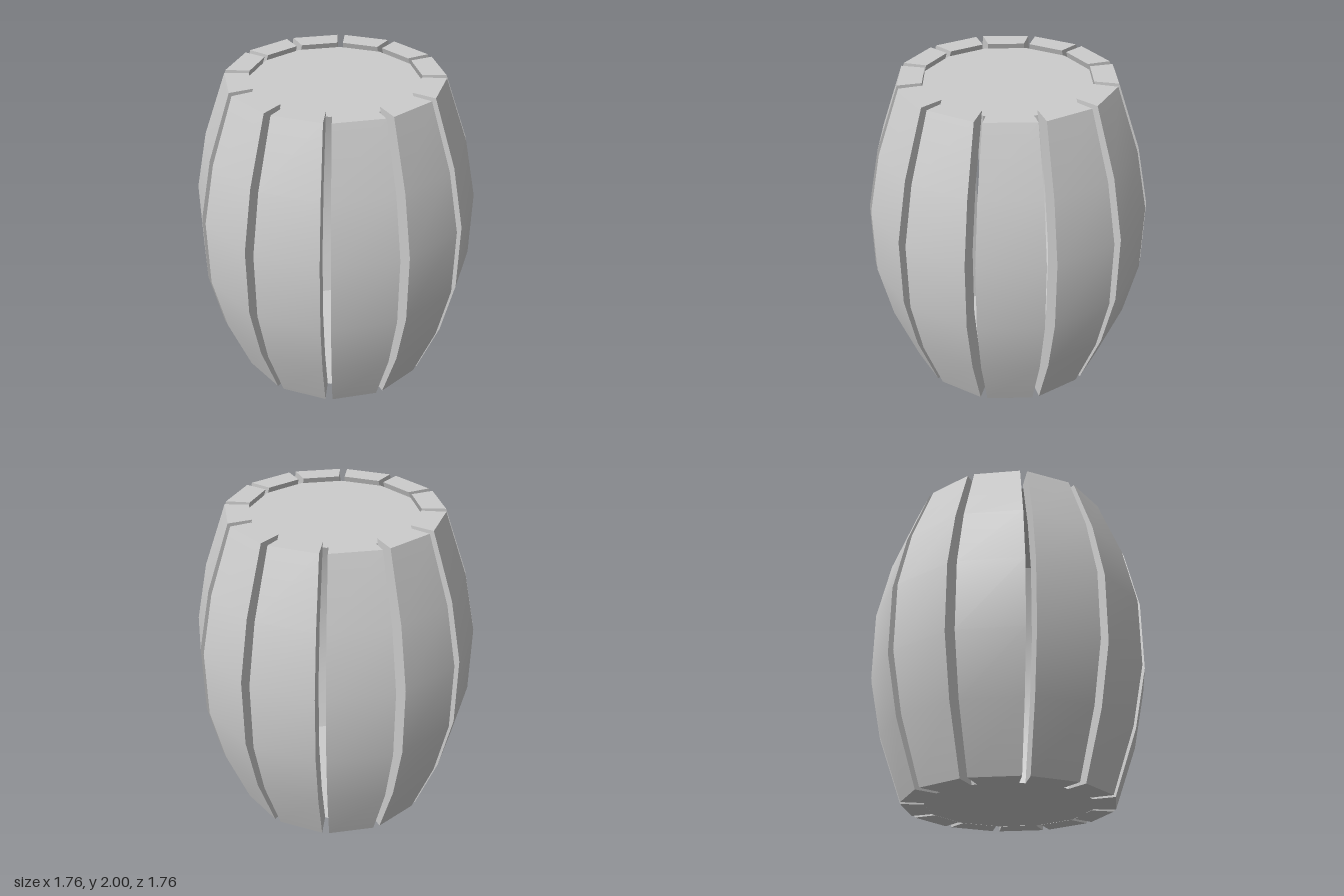
import * as THREE from 'three';
import { toCreasedNormals } from 'three/addons/utils/BufferGeometryUtils.js';

const STAVES = 12;
const THICKNESS = 0.145;
// Bulging side profile: [outer radius, height]
const PROFILE = [[0.655, 0], [0.8, 0.4], [0.88, 0.78], [0.88, 1.22], [0.8, 1.6], [0.655, 2]];

// One flat-fronted plank, facing +z, from four-cornered rings stacked upwards
function staveGeometry() {
  const half = THREE.MathUtils.degToRad(180 / STAVES - 2);
  const positions = [];
  const index = [];
  for (const [r, y] of PROFILE) {
    const inner = r - THICKNESS;
    for (const [radius, a] of [[r, -half], [r, half], [inner, half], [inner, -half]]) {
      positions.push(radius * Math.sin(a), y, radius * Math.cos(a));
    }
  }
  for (let i = 0; i < PROFILE.length - 1; i++) {
    for (let j = 0; j < 4; j++) {
      const a = i * 4 + j;
      const b = i * 4 + (j + 1) % 4;
      index.push(a, b, b + 4, a, b + 4, a + 4);
    }
  }
  // End grain at the bottom and top
  const t = (PROFILE.length - 1) * 4;
  index.push(0, 2, 1, 0, 3, 2, t, t + 1, t + 2, t, t + 2, t + 3);

  const geometry = new THREE.BufferGeometry();
  geometry.setAttribute('position', new THREE.Float32BufferAttribute(positions, 3));
  geometry.setIndex(index);
  return toCreasedNormals(geometry, Math.PI / 6);
}

export function createModel() {
  const barrel = new THREE.Group();
  barrel.name = 'barrel';
  const wood = new THREE.MeshStandardMaterial({ color: 0xcccccc });
  const thinWood = new THREE.MeshStandardMaterial({ color: 0xcccccc, side: THREE.DoubleSide });

  // Ring of separate staves with open gaps between them
  const plank = staveGeometry();
  for (let i = 0; i < STAVES; i++) {
    const stave = new THREE.Mesh(plank, wood);
    stave.name = 'stave' + (i + 1);
    stave.rotation.y = ((i + 0.5) / STAVES) * Math.PI * 2;
    barrel.add(stave);
  }

  // Thin end boards: flush base and slightly recessed lid
  const board = new THREE.CircleGeometry(0.515, STAVES).rotateX(-Math.PI / 2);
  for (const [name, y] of [['base', 0.001], ['lid', 1.97]]) {
    const end = new THREE.Mesh(board, thinWood);
    end.name = name;
    end.position.y = y;
    barrel.add(end);
  }
  return barrel;
}
